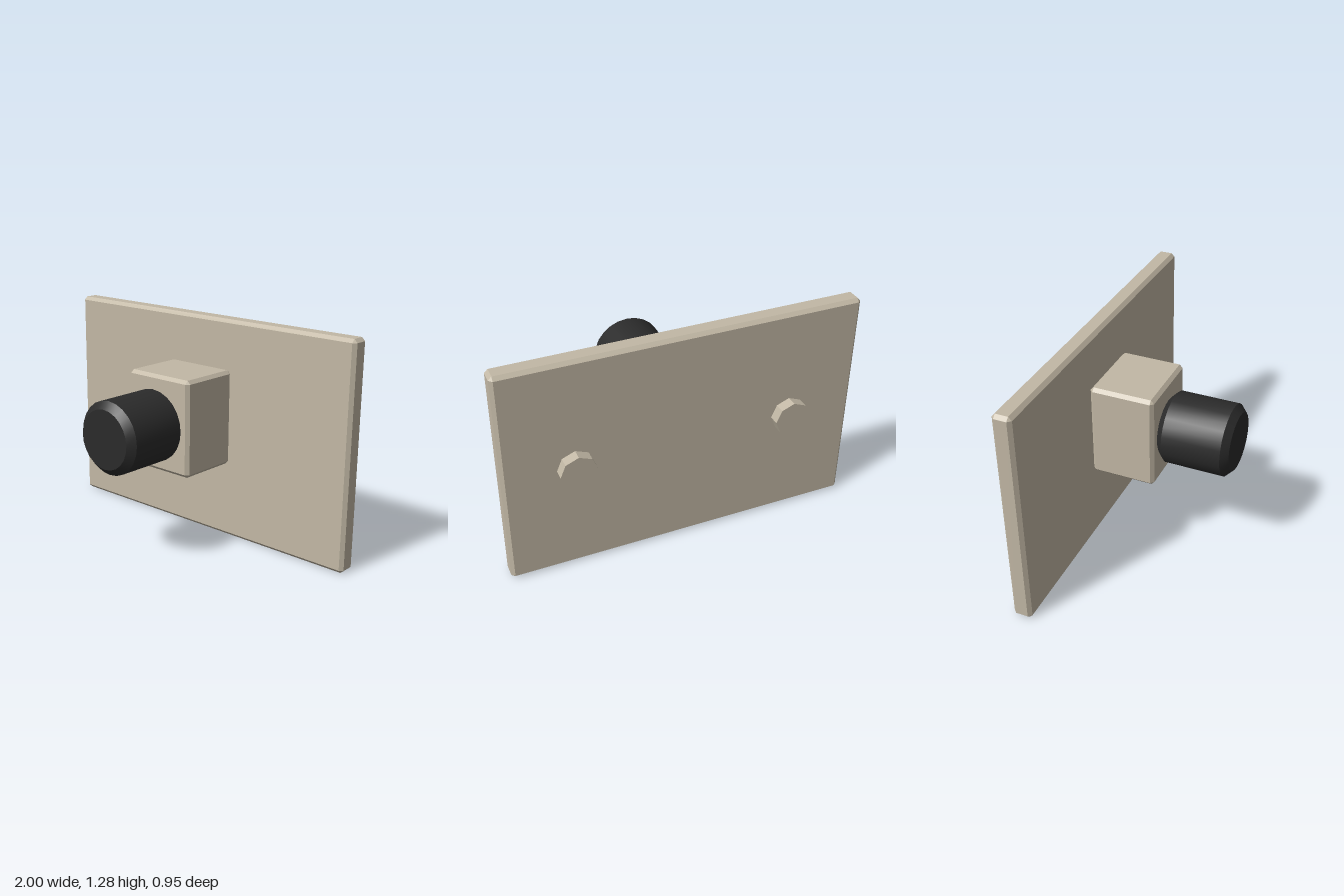
import * as THREE from 'three';
import { toCreasedNormals } from 'three/addons/utils/BufferGeometryUtils.js';
import { ConvexGeometry } from 'three/addons/geometries/ConvexGeometry.js';

// Box with a flat 45 degree chamfer on every edge
function chamferBox(w, h, d, c) {
  const half = [w / 2, h / 2, d / 2];
  const points = [];
  for (const sx of [-1, 1]) for (const sy of [-1, 1]) for (const sz of [-1, 1]) {
    for (let axis = 0; axis < 3; axis++) {
      const p = half.map((v, i) => (i === axis ? v : v - c));
      points.push(new THREE.Vector3(p[0] * sx, p[1] * sy, p[2] * sz));
    }
  }
  return new ConvexGeometry(points);
}

export function createModel() {
  const group = new THREE.Group();
  const beige = new THREE.MeshStandardMaterial({ color: 0xc2b8a5 });
  beige.name = 'beige';
  const black = new THREE.MeshStandardMaterial({ color: 0x2b2b2b });
  black.name = 'black';

  function add(name, geometry, material, x, y, z) {
    const mesh = new THREE.Mesh(geometry, material);
    mesh.name = name;
    mesh.position.set(x, y, z);
    group.add(mesh);
  }

  // Backing plate and the block mounted on its front
  add('plate', chamferBox(2, 1.28, 0.108, 0.019), beige, 0, 0.64, -0.36);
  add('block', chamferBox(0.44, 0.55, 0.37, 0.019), beige, 0, 0.725, -0.12);

  // Round knob, chamfered at both ends
  const profile = [[0, -0.205], [0.165, -0.205], [0.204, -0.167], [0.204, 0.167], [0.165, 0.205], [0, 0.205]]
    .map(([r, y]) => new THREE.Vector2(r, y));
  const knob = toCreasedNormals(new THREE.LatheGeometry(profile, 24), 0.5);
  knob.rotateX(Math.PI / 2);
  add('knob', knob, black, 0, 0.725, 0.27);

  // Eight-sided bolt heads on the back
  const bolt = toCreasedNormals(new THREE.CylinderGeometry(0.101, 0.101, 0.066, 8), 0.3);
  bolt.rotateX(Math.PI / 2);
  add('leftBolt', bolt, beige, 0.61, 0.65, -0.441);
  add('rightBolt', bolt, beige, -0.61, 0.65, -0.441);

  return group;
}
